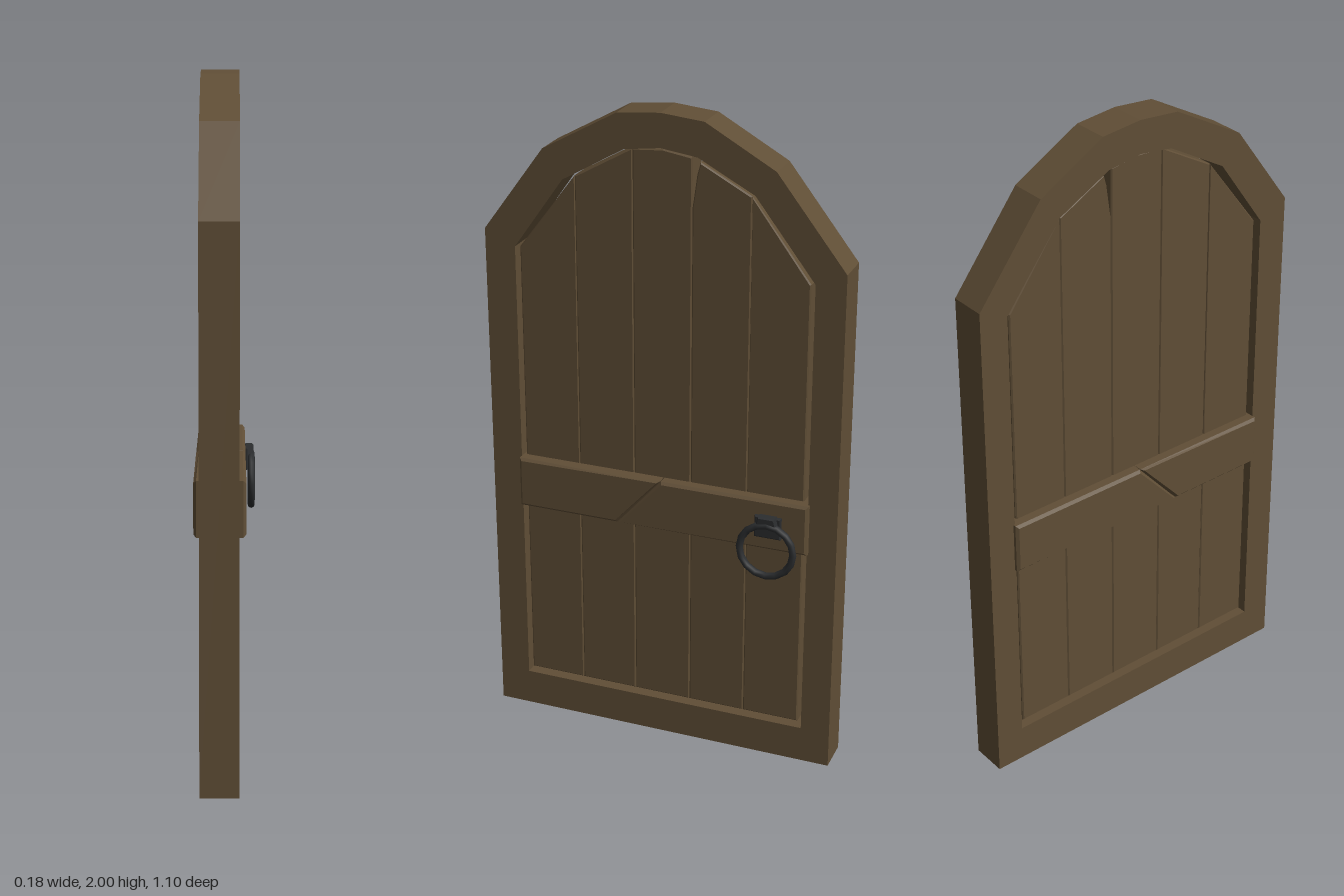
import * as THREE from 'three';

const wood = new THREE.MeshStandardMaterial({ color: 0x604e36 });
wood.name = 'wood';
const iron = new THREE.MeshStandardMaterial({ color: 0x2b2d2f });
iron.name = 'iron';

const toPoints = (list) => list.map(([u, y]) => new THREE.Vector2(u, y));

// Extrudes an outline drawn in the door plane (u = -z, y) from x0 to x1, with chamfered edges
function slab(name, outline, x0, x1, chamfer = 0, material = wood, hole = null) {
  const shape = new THREE.Shape(toPoints(outline));
  if (hole) shape.holes.push(new THREE.Path(toPoints(hole)));
  const geometry = new THREE.ExtrudeGeometry(shape, {
    depth: x1 - x0 - 2 * chamfer,
    bevelEnabled: chamfer > 0,
    bevelSize: chamfer,
    bevelThickness: chamfer,
    bevelOffset: -chamfer,
    bevelSegments: 1,
  });
  geometry.translate(0, 0, x0 + chamfer);
  geometry.rotateY(Math.PI / 2);
  const mesh = new THREE.Mesh(geometry, material);
  mesh.name = name;
  return mesh;
}

export function createModel() {
  const door = new THREE.Group();
  door.name = 'archedDoor';

  // Arched frame with a faceted opening
  const outer = [[-0.55, 0], [0.55, 0], [0.55, 1.6], [0.34, 1.87], [0.13, 1.988],
    [0, 2], [-0.13, 1.988], [-0.36, 1.86], [-0.55, 1.6]];
  const inner = [[-0.455, 0.115], [0.46, 0.115], [0.46, 1.56], [0.28, 1.795], [0.11, 1.885],
    [0, 1.9], [-0.11, 1.885], [-0.3, 1.775], [-0.455, 1.555]];
  door.add(slab('frame', outer, -0.073, 0.038, 0, wood, inner));

  // Five vertical planks whose tops follow the arch
  const edges = [-0.448, -0.27, -0.092, 0.088, 0.265, 0.442];
  const tops = [1.55, 1.785, 1.885, 1.878, 1.785, 1.55];
  const planks = new THREE.Group();
  planks.name = 'planks';
  for (let i = 0; i < 5; i++) {
    const a = edges[i], b = edges[i + 1];
    const outline = [[a, 0.125], [b, 0.125], [b, tops[i + 1]]];
    if (i === 2) outline.push([0, 1.892]);
    // The fourth plank is split at its upper corner
    if (i === 3) outline.push([0.112, 1.866], [0.102, 1.83], [a, 1.73]);
    else outline.push([a, tops[i]]);
    planks.add(slab('plank', outline, -0.055, 0.02, 0.004));
  }
  door.add(planks);

  // Cross bar through both sides, cracked along a diagonal
  const bar = new THREE.Group();
  bar.name = 'crossBar';
  bar.add(
    slab('barHalf', [[-0.457, 0.72], [-0.137, 0.72], [0.003, 0.88], [-0.457, 0.88]], -0.09, 0.057, 0.008),
    slab('barHalf', [[-0.135, 0.72], [0.465, 0.72], [0.465, 0.88], [0.005, 0.88]], -0.09, 0.057, 0.008),
  );
  door.add(bar);

  // Ring handle hanging from an iron mount
  const handle = new THREE.Group();
  handle.name = 'handle';
  handle.add(
    slab('mountPlate', [[0.305, 0.762], [0.387, 0.762], [0.387, 0.832], [0.305, 0.832]], 0.05, 0.067, 0.004, iron),
    slab('mountHook', [[0.312, 0.8], [0.38, 0.8], [0.372, 0.836], [0.32, 0.836]], 0.055, 0.084, 0.004, iron),
  );
  const ring = new THREE.Mesh(new THREE.TorusGeometry(0.083, 0.011, 8, 16), iron);
  ring.name = 'ring';
  ring.rotation.y = Math.PI / 2;
  ring.position.set(0.077, 0.727, -0.347);
  handle.add(ring);
  door.add(handle);

  return door;
}
